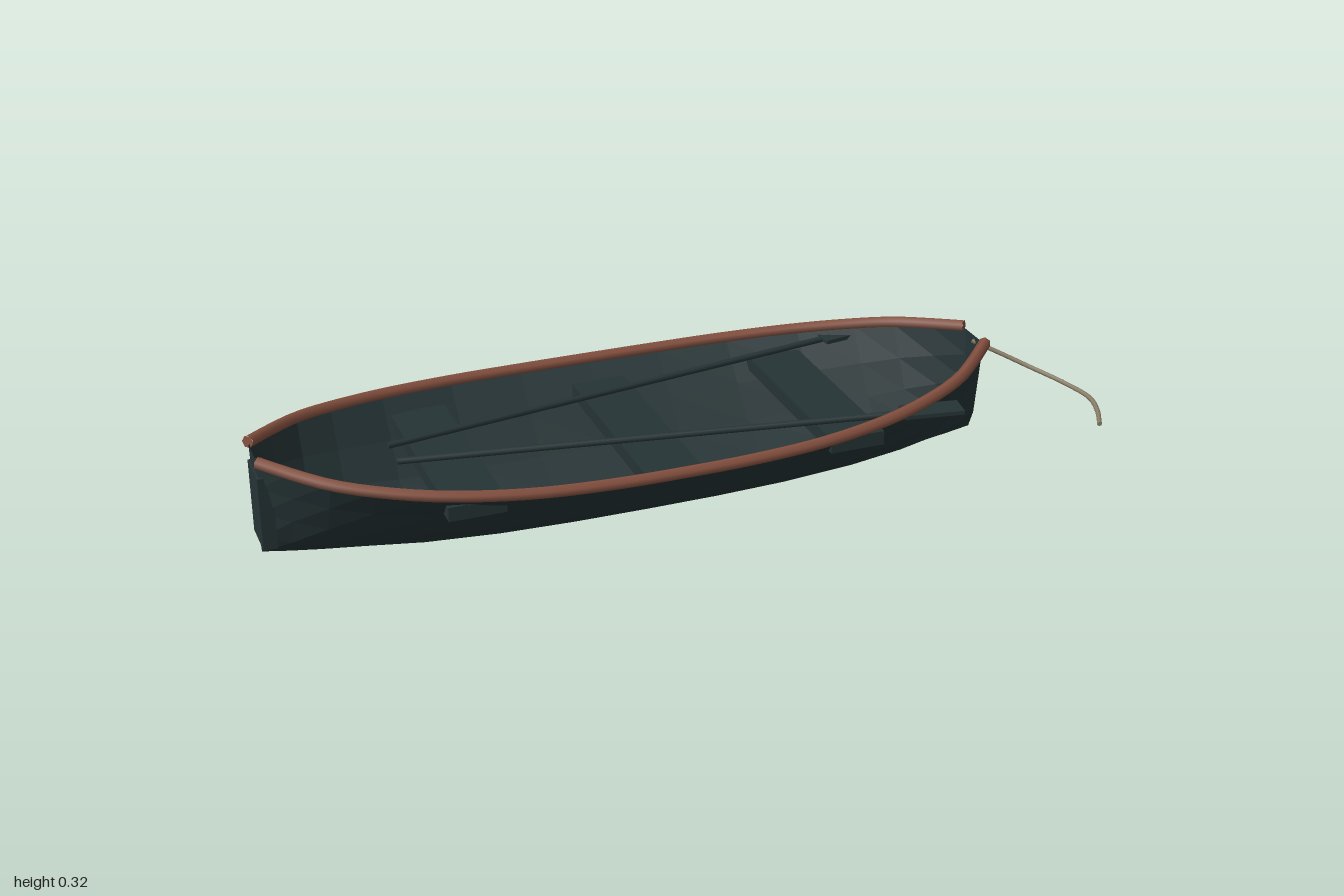
import * as THREE from 'three';

const CX = -0.095, CZ = -0.01, HALF = 0.9; // boat centre and half length

// half width of the gunwale, from midship (t = 0) to the ends (t = 1)
const PLAN = [[0, 0.33], [0.2, 0.327], [0.4, 0.313], [0.6, 0.277], [0.75, 0.228], [0.85, 0.18], [0.93, 0.118], [1, 0.055]];
function halfWidth(t) {
  const a = Math.abs(t);
  for (let i = 1; i < PLAN.length; i++) {
    const [t0, w0] = PLAN[i - 1], [t1, w1] = PLAN[i];
    if (a <= t1 + 1e-9) return w0 + (w1 - w0) * (a - t0) / (t1 - t0);
  }
  return 0.055;
}
const sheer = (t) => 0.252 + 0.058 * Math.abs(t) ** 2.5;
const keel = (t) => 0.003 + 0.055 * Math.abs(t) ** 3;

// half sections as fractions of width and height: midship and ends
const MID = [[0, 0], [0.26, 0.13], [0.51, 0.35], [0.74, 0.65], [1, 1]];
const END = [[0, 0], [0.44, 0.19], [0.63, 0.46], [0.82, 0.73], [1, 1]];

function section(t) {
  const b = Math.abs(t) ** 4, w = halfWidth(t) - 0.008, k = keel(t), h = sheer(t) - 0.004 - k;
  const half = MID.map((m, i) => [
    w * (m[0] + (END[i][0] - m[0]) * b),
    k + h * (m[1] + (END[i][1] - m[1]) * b),
  ]);
  const x = CX + HALF * t;
  return [
    ...half.slice(1).reverse().map(([z, y]) => [x, y, CZ - z]),
    ...half.map(([z, y]) => [x, y, CZ + z]),
  ];
}

// faceted shell lofted through the sections, closed at both ends
function hullGeometry() {
  const stations = [-1, -0.93, -0.85, -0.75, -0.6, -0.4, -0.2, 0, 0.2, 0.4, 0.6, 0.75, 0.85, 0.93, 1];
  const rings = stations.map(section);
  const pos = [];
  const tri = (a, b, c) => pos.push(...a, ...b, ...c);
  for (let s = 0; s < rings.length - 1; s++) {
    const A = rings[s], B = rings[s + 1];
    for (let i = 0; i < A.length - 1; i++) {
      tri(A[i], B[i], B[i + 1]);
      tri(A[i], B[i + 1], A[i + 1]);
    }
  }
  const first = rings[0], last = rings[rings.length - 1];
  for (let i = 1; i < first.length - 1; i++) {
    tri(first[0], first[i], first[i + 1]);
    tri(last[0], last[i + 1], last[i]);
  }
  const g = new THREE.BufferGeometry();
  g.setAttribute('position', new THREE.Float32BufferAttribute(pos, 3));
  g.computeVertexNormals();
  return g;
}

// tube with closed ends
function cappedTube(curve, segments, radius, sides, mat, name) {
  const group = new THREE.Group();
  group.name = name;
  group.add(new THREE.Mesh(new THREE.TubeGeometry(curve, segments, radius, sides), mat));
  for (const u of [0, 1]) {
    const cap = new THREE.Mesh(new THREE.CircleGeometry(radius, sides), mat);
    const p = curve.getPointAt(u), d = curve.getTangentAt(u).multiplyScalar(u ? 1 : -1);
    cap.position.copy(p);
    cap.lookAt(p.clone().add(d));
    group.add(cap);
  }
  group.children.forEach((m) => { m.name = name; });
  return group;
}

export function createModel() {
  const boat = new THREE.Group();
  boat.name = 'rowingBoat';

  const make = (name, color, side = THREE.FrontSide) => {
    const m = new THREE.MeshStandardMaterial({ color, side });
    m.name = name;
    return m;
  };
  const wood = make('dark painted wood', 0x263436, THREE.DoubleSide);
  const trim = make('red brown trim', 0x84503f);
  const hemp = make('rope tan', 0x887d68);

  const add = (name, geometry, x, y, z, parent = boat) => {
    const mesh = new THREE.Mesh(geometry, wood);
    mesh.name = name;
    mesh.position.set(x, y, z);
    parent.add(mesh);
    return mesh;
  };

  add('hull', hullGeometry(), 0, 0, 0);

  // block across the stern
  add('sternBlock', new THREE.BoxGeometry(0.033, 0.18, 0.105), -0.983, 0.178, CZ);

  // seats, whose ends pass through the planking
  for (const x of [-0.555, -0.095, 0.37]) {
    add('seat', new THREE.BoxGeometry(0.135, 0.035, 0.51), x, 0.208, CZ);
  }

  for (const side of [-1, 1]) {
    // gunwale rail along each edge
    const points = [];
    for (const t of [-1, -0.93, -0.85, -0.75, -0.6, -0.4, -0.2, 0, 0.2, 0.4, 0.6, 0.75, 0.85, 0.93, 1]) {
      points.push(new THREE.Vector3(CX + HALF * t, sheer(t), CZ + side * halfWidth(t)));
    }
    boat.add(cappedTube(new THREE.CatmullRomCurve3(points), 48, 0.015, 6, trim, 'gunwale'));

    // oar resting on the seats, blade over the rail
    const oar = new THREE.Group();
    oar.name = 'oar';
    oar.position.set(-0.68, 0.25, CZ + side * 0.042);
    oar.rotation.y = -side * Math.atan2(0.212, 1.32);
    boat.add(oar);
    add('oarShaft', new THREE.CylinderGeometry(0.008, 0.008, 1.22, 8), 0.61, 0, 0, oar).rotation.z = Math.PI / 2;
    add('oarBlade', new THREE.BoxGeometry(0.145, 0.01, 0.06), 1.262, 0.002, 0, oar);
  }

  // mooring rope hanging from the bow
  const rope = new THREE.CatmullRomCurve3([
    [0.8, 0.293, -0.01], [0.86, 0.265, 0.025], [0.92, 0.238, 0.075], [0.97, 0.222, 0.155],
    [0.993, 0.215, 0.24], [0.98, 0.209, 0.3], [0.955, 0.202, 0.353],
  ].map((p) => new THREE.Vector3(...p)));
  boat.add(cappedTube(rope, 32, 0.006, 8, hemp, 'rope'));

  return boat;
}
